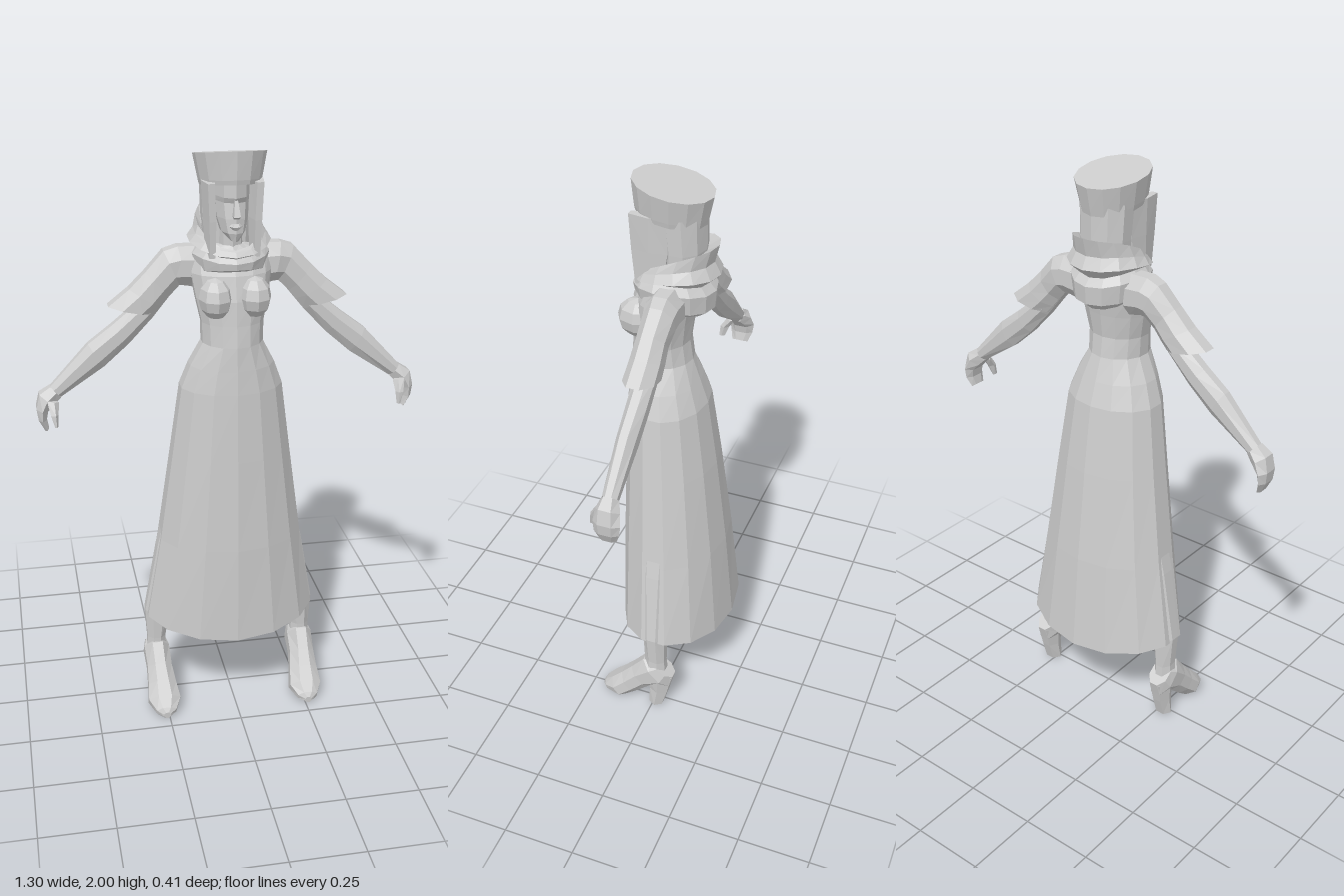
import * as THREE from 'three';

const cloth = new THREE.MeshStandardMaterial({ color: 0xcccccc, flatShading: true, side: THREE.DoubleSide });
cloth.name = 'pale grey';

// Faceted skin over a list of equal-length rings, optionally capped
function loft(name, rings, caps = true) {
  const tris = [], n = rings[0].length;
  for (let i = 0; i < rings.length - 1; i++) {
    for (let j = 0; j < n; j++) {
      const k = (j + 1) % n;
      const a = rings[i][j], b = rings[i][k], c = rings[i + 1][k], d = rings[i + 1][j];
      tris.push([a, b, c], [a, c, d]);
    }
  }
  if (caps) {
    const first = rings[0], last = rings[rings.length - 1];
    for (let j = 1; j < n - 1; j++) {
      tris.push([first[0], first[j + 1], first[j]], [last[0], last[j], last[j + 1]]);
    }
  }
  // Turn the faces outward whichever way the rings run
  const centre = new THREE.Vector3();
  rings.flat().forEach(p => centre.addScaledVector(p, 1 / (n * rings.length)));
  let volume = 0;
  for (const t of tris) {
    const [a, b, c] = t.map(p => p.clone().sub(centre));
    volume += a.dot(b.cross(c));
  }
  if (volume < 0) tris.forEach(t => t.reverse());
  const geo = new THREE.BufferGeometry().setFromPoints(tris.flat());
  geo.computeVertexNormals();
  const mesh = new THREE.Mesh(geo, cloth);
  mesh.name = name;
  return mesh;
}

// Upright ring: half width, front z, back z, height at front, back and extra at sides
function oval(w, zf, zb, yf, yb = yf, side = 0, n = 14) {
  return Array.from({ length: n }, (_, j) => {
    const t = (j / n) * Math.PI * 2, c = Math.cos(t), s = Math.sin(t);
    return new THREE.Vector3(w * s, (yf + yb) / 2 + (yf - yb) / 2 * c + side * s * s,
      (zf + zb) / 2 + (zf - zb) / 2 * c);
  });
}

// Limb ring between two outline points (u1,y1) and (u2,y2), with depth centre and half depth
function limb(name, sections, alongX, n = 8, caps = true) {
  return loft(name, sections.map(([u1, y1, u2, y2, m, h]) =>
    Array.from({ length: n }, (_, j) => {
      const t = ((j + 0.5) / n) * Math.PI * 2, grow = 1 / Math.cos(Math.PI / n);
      const c = Math.cos(t) * grow, v = m + h * Math.sin(t) * grow;
      const u = (u1 + u2) / 2 + (u1 - u2) / 2 * c, y = (y1 + y2) / 2 + (y1 - y2) / 2 * c;
      return alongX ? new THREE.Vector3(u, y, v) : new THREE.Vector3(v, y, u);
    })), caps);
}

// One arm, leg, lock of hair and breast on the model's left
function buildSide(name) {
  const side = new THREE.Group();
  side.name = name;

  side.add(limb('sleeve', [
    [0.10, 1.68, 0.10, 1.54, 0.00, 0.055],
    [0.17, 1.68, 0.145, 1.55, 0.00, 0.055],
    [0.215, 1.665, 0.165, 1.55, -0.005, 0.05],
    [0.275, 1.60, 0.20, 1.515, 0.00, 0.047],
    [0.33, 1.545, 0.225, 1.485, 0.00, 0.05],
    [0.40, 1.49, 0.25, 1.458, 0.00, 0.052],
  ], true, 8, false));

  side.add(limb('arm', [
    [0.22, 1.61, 0.17, 1.55, 0.00, 0.035],
    [0.31, 1.49, 0.255, 1.445, 0.00, 0.035],
    [0.39, 1.425, 0.335, 1.36, 0.00, 0.034],
    [0.47, 1.365, 0.42, 1.285, 0.00, 0.032],
    [0.60, 1.225, 0.565, 1.188, 0.00, 0.025],
  ], true));

  side.add(limb('hand', [
    [0.60, 1.225, 0.565, 1.188, 0.00, 0.025],
    [0.638, 1.20, 0.588, 1.165, -0.003, 0.036],
    [0.65, 1.15, 0.612, 1.14, -0.005, 0.04],
    [0.645, 1.11, 0.618, 1.11, -0.004, 0.036],
    [0.625, 1.07, 0.612, 1.078, -0.002, 0.026],
  ], true, 6));

  side.add(limb('thumb', [
    [0.615, 1.185, 0.58, 1.175, 0.025, 0.014],
    [0.605, 1.14, 0.582, 1.14, 0.05, 0.014],
    [0.594, 1.10, 0.584, 1.10, 0.06, 0.009],
  ], true, 5));

  side.add(limb('leg', [
    [0.08, 0.95, -0.06, 0.95, 0.11, 0.07],
    [0.06, 0.60, -0.05, 0.60, 0.205, 0.055],
    [0.035, 0.34, -0.045, 0.34, 0.262, 0.045],
    [0.03, 0.23, -0.045, 0.22, 0.268, 0.032],
    [0.03, 0.17, -0.05, 0.15, 0.268, 0.035],
  ], false));

  side.add(limb('shoe', [
    [0.00, 0.215, -0.078, 0.16, 0.268, 0.036],
    [0.035, 0.215, -0.065, 0.11, 0.268, 0.045],
    [0.085, 0.155, 0.01, 0.085, 0.266, 0.044],
    [0.125, 0.11, 0.065, 0.035, 0.263, 0.05],
    [0.165, 0.07, 0.11, 0.0, 0.261, 0.057],
    [0.195, 0.04, 0.18, 0.0, 0.26, 0.035],
    [0.205, 0.025, 0.204, 0.002, 0.26, 0.012],
  ], false));

  side.add(limb('shoeHeel', [
    [0.02, 0.12, -0.075, 0.155, 0.268, 0.034],
    [0.012, 0.07, -0.055, 0.07, 0.268, 0.028],
    [0.015, 0.0, -0.035, 0.0, 0.268, 0.028],
  ], false, 6));

  side.add(limb('hairLock', [
    [0.135, 1.90, 0.00, 1.90, 0.078, 0.019],
    [0.13, 1.78, 0.01, 1.78, 0.073, 0.019],
    [0.12, 1.66, 0.03, 1.66, 0.072, 0.015],
  ], false, 6));

  const breast = new THREE.Mesh(new THREE.SphereGeometry(1, 8, 6), cloth);
  breast.name = 'breast';
  breast.geometry = breast.geometry.toNonIndexed();
  breast.geometry.computeVertexNormals();
  breast.scale.set(0.055, 0.068, 0.072);
  breast.position.set(0.064, 1.53, 0.118);
  side.add(breast);
  return side;
}

export function createModel() {
  const model = new THREE.Group();
  model.name = 'robedWoman';

  // Long open skirt with a hem that rises at the sides
  model.add(loft('skirt', [
    oval(0.308, 0.19, -0.207, 0.287, 0.292, 0.042),
    oval(0.255, 0.188, -0.175, 0.64),
    oval(0.208, 0.18, -0.135, 0.97),
    oval(0.175, 0.172, -0.10, 1.21),
    oval(0.145, 0.167, -0.073, 1.29),
    oval(0.103, 0.163, -0.045, 1.37),
  ], false));

  // Bodice from waist to shoulders
  model.add(loft('bodice', [
    oval(0.103, 0.163, -0.045, 1.37),
    oval(0.105, 0.155, -0.035, 1.44),
    oval(0.122, 0.148, -0.045, 1.52),
    oval(0.135, 0.13, -0.058, 1.60),
    oval(0.13, 0.10, -0.06, 1.66),
    oval(0.05, 0.08, -0.03, 1.69),
  ]));

  // Draped cowl with two folds, high at the back
  model.add(loft('cowl', [
    oval(0.09, 0.125, -0.085, 1.615, 1.555),
    oval(0.12, 0.148, -0.118, 1.625, 1.58),
    oval(0.13, 0.152, -0.122, 1.645, 1.64, 0.02),
    oval(0.112, 0.14, -0.10, 1.66, 1.665, 0.025),
    oval(0.137, 0.147, -0.136, 1.665, 1.70, 0.02),
    oval(0.117, 0.135, -0.115, 1.68, 1.74, 0.02),
    oval(0.107, 0.128, -0.13, 1.685, 1.80, 0.02),
    oval(0.09, 0.112, -0.09, 1.665, 1.775, 0.01),
    oval(0.055, 0.085, -0.03, 1.62, 1.64),
  ], false));

  model.add(loft('neck', [oval(0.045, 0.08, -0.02, 1.60, 1.60, 0, 8), oval(0.038, 0.085, -0.01, 1.76, 1.76, 0, 8)]));

  model.add(loft('head', [
    oval(0.018, 0.128, 0.06, 1.712, 1.73, 0, 10),
    oval(0.04, 0.138, 0.00, 1.74, 1.74, 0, 10),
    oval(0.053, 0.136, -0.05, 1.785, 1.785, 0, 10),
    oval(0.058, 0.128, -0.07, 1.835, 1.835, 0, 10),
    oval(0.06, 0.138, -0.075, 1.852, 1.852, 0, 10),
    oval(0.06, 0.138, -0.075, 1.90, 1.90, 0, 10),
  ]));

  // Nose and lips
  model.add(limb('nose', [
    [0.14, 1.845, 0.11, 1.845, 0, 0.005],
    [0.157, 1.797, 0.11, 1.795, 0, 0.011],
    [0.138, 1.787, 0.11, 1.787, 0, 0.008],
  ], false, 4));
  model.add(limb('lips', [
    [0.141, 1.772, 0.11, 1.772, 0, 0.012],
    [0.146, 1.763, 0.11, 1.763, 0, 0.018],
    [0.140, 1.752, 0.11, 1.752, 0, 0.010],
  ], false, 6));

  model.add(loft('backHair', [
    oval(0.08, 0.05, -0.07, 1.64, 1.64, 0, 10),
    oval(0.09, 0.055, -0.09, 1.78, 1.78, 0, 10),
    oval(0.095, 0.07, -0.09, 1.90, 1.90, 0, 10),
  ]));

  // Tall flared hat with a slanted top
  model.add(loft('hat', [
    oval(0.098, 0.143, -0.09, 1.895, 1.862),
    oval(0.102, 0.146, -0.094, 1.91, 1.88),
    oval(0.118, 0.153, -0.11, 2.0, 1.955),
  ]));

  const left = buildSide('leftSide');
  const right = buildSide('rightSide');
  right.scale.x = -1;
  model.add(left, right);
  return model;
}
